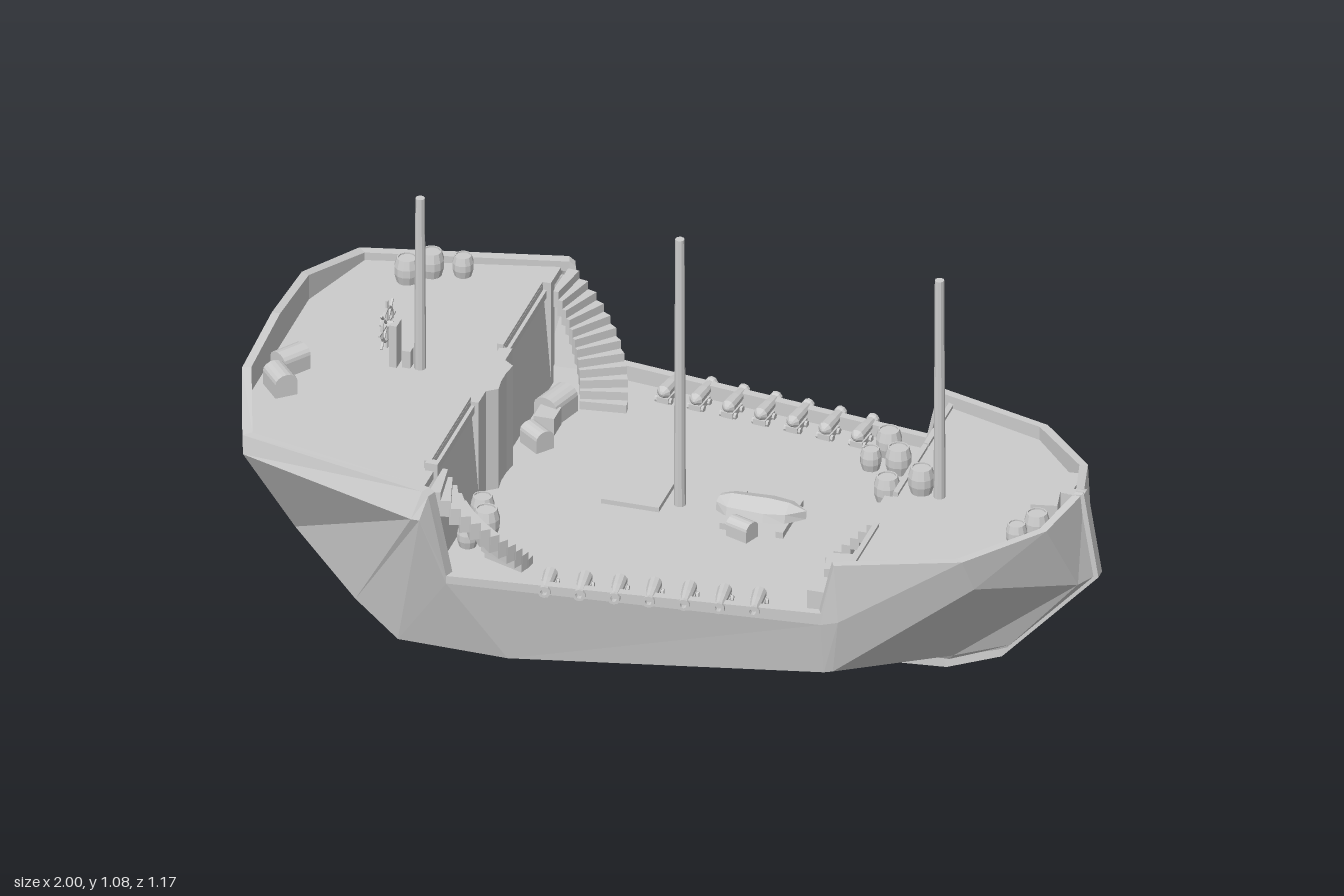
import * as THREE from 'three';

const mat = new THREE.MeshStandardMaterial({ color: 0xcccccc, flatShading: true, side: THREE.DoubleSide });
const MAIN = 0.37, STERN = 0.625, FORE = 0.5;

function add(parent, name, geo, x = 0, y = 0, z = 0) {
  const m = new THREE.Mesh(geo, mat);
  m.name = name;
  m.position.set(x, y, z);
  parent.add(m);
  return m;
}
const box = (w, h, d) => new THREE.BoxGeometry(w, h, d);

// Skin between neighbouring cross-sections
function loft(sections, closed = false) {
  const pos = [];
  for (let i = 0; i < sections.length - 1; i++) {
    const a = sections[i], b = sections[i + 1], n = a.length;
    for (let j = 0; j < (closed ? n : n - 1); j++) {
      const k = (j + 1) % n;
      pos.push(...a[j], ...b[j], ...a[k], ...b[j], ...b[k], ...a[k]);
    }
  }
  const g = new THREE.BufferGeometry();
  g.setAttribute('position', new THREE.Float32BufferAttribute(pos, 3));
  g.computeVertexNormals();
  return g;
}

// Vertical prism over a plan outline of [x, z] points
function prism(pts, y0, y1) {
  const s = new THREE.Shape(pts.map(([x, z]) => new THREE.Vector2(x, -z)));
  return new THREE.ExtrudeGeometry(s, { depth: y1 - y0, bevelEnabled: false }).rotateX(-Math.PI / 2).translate(0, y0, 0);
}
const mirrored = (half) => [...half, ...half.map(([x, z]) => [x, -z]).reverse()];

function barrel(parent, x, y, z, r) {
  const h = r * 2.1;
  const p = [[0, 0], [r * 0.8, 0], [r, h * 0.35], [r, h * 0.65], [r * 0.8, h], [r * 0.7, h], [r * 0.7, h * 0.94], [0, h * 0.94]];
  add(parent, 'barrel', new THREE.LatheGeometry(p.map((q) => new THREE.Vector2(...q)), 12), x, y, z);
}

function chest(parent, x, y, z, turn, s = 1) {
  const g = new THREE.Group();
  g.name = 'chest';
  add(g, 'chestBody', box(0.055 * s, 0.036 * s, 0.075 * s), 0, 0.018 * s, 0);
  const lid = new THREE.CylinderGeometry(0.0275 * s, 0.0275 * s, 0.075 * s, 8, 1, false, 0, Math.PI);
  lid.rotateZ(Math.PI / 2).rotateY(Math.PI / 2).scale(1, 0.75, 1);
  lid.computeBoundingBox();
  add(g, 'chestLid', lid, 0, 0.036 * s - lid.boundingBox.min.y, 0);
  g.position.set(x, y, z);
  g.rotation.y = turn;
  parent.add(g);
}

function cannon(parent, x, z, side) {
  const g = new THREE.Group();
  g.name = 'cannon';
  const p = [[0, -0.055], [0.007, -0.052], [0.017, -0.042], [0.015, 0], [0.011, 0.035], [0.015, 0.04], [0.015, 0.048], [0.008, 0.048], [0.008, 0.03]];
  const b = new THREE.LatheGeometry(p.map((q) => new THREE.Vector2(...q)), 10).rotateX(Math.PI / 2);
  add(g, 'cannonBarrel', b, 0, 0.027, 0);
  add(g, 'carriage', box(0.03, 0.014, 0.055), 0, 0.008, -0.022);
  for (const dz of [-0.04, -0.005]) {
    add(g, 'wheels', new THREE.CylinderGeometry(0.008, 0.008, 0.042, 8).rotateZ(Math.PI / 2), 0, 0.006, dz);
  }
  g.position.set(x, MAIN, z * side);
  g.rotation.y = side > 0 ? 0.13 : Math.PI - 0.13;
  parent.add(g);
}

export function createModel() {
  const ship = new THREE.Group();
  ship.name = 'ship';

  // Hull stations from stern to bow: deck height, then rail, waist, chine and keel points
  const stations = [
    [STERN, [-1, 0.71, 0], [-0.995, 0.65, 0], [-0.93, 0.4, 0], [-0.93, 0.4, 0]],
    [STERN, [-1, 0.69, 0.23], [-0.99, 0.63, 0.23], [-0.93, 0.4, 0.2], [-0.93, 0.4, 0]],
    [STERN, [-0.93, 0.645, 0.45], [-0.925, 0.6, 0.46], [-0.84, 0.35, 0.33], [-0.84, 0.35, 0]],
    [STERN, [-0.46, 0.64, 0.565], [-0.48, 0.575, 0.587], [-0.66, 0.25, 0.44], [-0.66, 0.245, 0.02]],
    [STERN, [-0.445, 0.63, 0.565], [-0.46, 0.575, 0.587], [-0.545, 0.185, 0.48], [-0.52, 0.03, 0.03]],
    [MAIN, [-0.41, 0.41, 0.54], [-0.41, 0.39, 0.54], [-0.28, 0.18, 0.48], [-0.36, 0.025, 0.03]],
    [MAIN, [0.46, 0.4, 0.43], [0.46, 0.37, 0.43], [0.46, 0.23, 0.405], [0.48, 0.075, 0.03]],
    [FORE, [0.49, 0.53, 0.425], [0.5, 0.38, 0.425], [0.48, 0.233, 0.4], [0.5, 0.075, 0.03]],
    [FORE, [0.77, 0.535, 0.33], [0.79, 0.45, 0.3], [0.66, 0.11, 0.045], [0.64, 0.085, 0.03]],
    [FORE, [0.92, 0.55, 0.16], [0.965, 0.36, 0.06], [0.79, 0.15, 0.025], [0.77, 0.125, 0.02]],
    [FORE, [0.96, 0.57, 0], [0.995, 0.36, 0], [0.8, 0.15, 0], [0.78, 0.13, 0]],
  ];
  for (const side of [1, -1]) {
    const rows = stations.map(([deck, ...pts]) => {
      const [x, y, z] = pts[0];
      const ix = x * 0.98, iz = z * 0.957;
      return [[ix, deck - 0.01, iz], [ix, y, iz], ...pts].map((p) => [p[0], p[1], p[2] * side]);
    });
    add(ship, side > 0 ? 'hullLeft' : 'hullRight', loft(rows));
  }

  // Keel, sternpost and stem: outer x, y, inner x, y, half width
  const keel = [
    [-0.93, 0.395, -0.93, 0.42, 0.02], [-0.84, 0.345, -0.82, 0.37, 0.025], [-0.66, 0.235, -0.63, 0.26, 0.03],
    [-0.52, 0.01, -0.51, 0.04, 0.035], [-0.36, 0, -0.36, 0.032, 0.035], [0.64, 0.07, 0.63, 0.1, 0.035],
    [0.77, 0.115, 0.755, 0.14, 0.024], [1, 0.36, 0.97, 0.37, 0.014], [0.965, 0.575, 0.925, 0.56, 0.014],
  ];
  add(ship, 'keel', loft(keel.map(([a, b, c, d, w]) => [[a, b, w], [a, b, -w], [c, d, -w], [c, d, w]]), true));
  add(ship, 'stemHead', box(0.04, 0.012, 0.028), 0.945, 0.563, 0);

  // Decks
  add(ship, 'mainDeck', prism(mirrored([[-0.5, 0.515], [-0.4, 0.52], [0.46, 0.415], [0.53, 0.4]]), MAIN - 0.02, MAIN));
  add(ship, 'sternDeck', prism(mirrored([[-0.985, 0.22], [-0.915, 0.435], [-0.47, 0.545]]), STERN - 0.02, STERN));
  add(ship, 'foreDeck', prism(mirrored([[0.515, 0.405], [0.76, 0.315], [0.9, 0.155], [0.94, 0.01]]), FORE - 0.02, FORE));

  // Stern bulkhead with leaning panels and a scalloped centre bay
  add(ship, 'sternBulkhead', box(0.015, STERN - MAIN, 1.05), -0.49, (STERN + MAIN) / 2, 0);
  add(ship, 'centreBay', prism(mirrored([[-0.49, 0.13], [-0.46, 0.13], [-0.46, 0.075], [-0.435, 0.055], [-0.44, 0.02]]), MAIN, STERN + 0.01));
  for (const s of [1, -1]) {
    add(ship, 'sternPanel', box(0.012, 0.265, 0.3), -0.475, 0.505, 0.28 * s).rotation.z = 0.08;
    add(ship, 'sternDeckBeam', box(0.016, 0.03, 0.31), -0.488, STERN + 0.005, 0.28 * s);
    add(ship, 'sternPost', box(0.03, STERN - MAIN + 0.02, 0.02), -0.475, (STERN + MAIN) / 2 + 0.01, 0.435 * s);
  }

  // Forward bulkhead
  add(ship, 'foreBulkhead', box(0.015, FORE - MAIN, 0.82), 0.517, (FORE + MAIN) / 2, 0);
  for (const [z, w] of [[-0.35, 0.13], [-0.24, 0.07], [-0.085, 0.23], [0.295, 0.24]]) {
    add(ship, 'forePanel', box(0.012, 0.145, w), 0.505, 0.44, z).rotation.z = -0.15;
  }

  // Straight stair to the fore deck
  for (let i = 0; i < 6; i++) {
    add(ship, 'foreStep', box(0.022, 0.03, 0.14), 0.4 + i * 0.02, MAIN + 0.008 + i * 0.021, 0.1);
  }

  // Curved stairs on both sides
  const steps = 12;
  for (const s of [1, -1]) {
    for (let i = 0; i < steps; i++) {
      const a0 = 0.12 + (i * 1.42) / steps, a1 = a0 + 1.42 / steps + 0.02;
      const pt = (r, a) => [-0.455 + r * Math.cos(a), s * (0.335 + r * Math.sin(a))];
      const top = MAIN + ((i + 1) * (STERN - MAIN)) / steps;
      add(ship, 'curvedStep', prism([pt(0.09, a0), pt(0.2, a0), pt(0.2, a1), pt(0.09, a1)], Math.max(MAIN, top - 0.042), top));
    }
  }

  // Masts
  for (const [x, y] of [[-0.642, STERN], [-0.015, MAIN], [0.612, FORE]]) {
    add(ship, 'mast', new THREE.CylinderGeometry(0.011, 0.014, 1.077 - y, 10), x, (1.077 + y) / 2, 0);
  }

  // Steering wheel on its stand
  const wheel = new THREE.Group();
  wheel.name = 'steeringWheel';
  add(wheel, 'rim', new THREE.TorusGeometry(0.041, 0.004, 6, 16).rotateY(Math.PI / 2));
  add(wheel, 'hub', new THREE.CylinderGeometry(0.01, 0.01, 0.03, 8).rotateZ(Math.PI / 2));
  for (let i = 0; i < 4; i++) add(wheel, 'spoke', box(0.005, 0.124, 0.005)).rotation.x = (i * Math.PI) / 4;
  wheel.position.set(-0.722, 0.727, 0);
  ship.add(wheel);
  add(ship, 'wheelStand', box(0.018, 0.11, 0.036), -0.702, STERN + 0.055, 0);
  add(ship, 'compassBox', box(0.02, 0.045, 0.024), -0.672, STERN + 0.022, 0);

  // Hatch
  add(ship, 'hatch', box(0.14, 0.012, 0.14), -0.12, MAIN + 0.006, -0.02);

  // Upturned rowing boat on two bearers
  const boat = [[0.08, 0.025, 0.006], [0.11, 0.045, 0.018], [0.2, 0.052, 0.02], [0.25, 0.04, 0.016], [0.29, 0.003, 0.002]];
  add(ship, 'rowingBoat', loft(boat.map(([x, w, k]) => [
    [x, MAIN + 0.015, w], [x, MAIN + 0.036, w * 0.85], [x, MAIN + 0.034 + k, 0], [x, MAIN + 0.036, -w * 0.85], [x, MAIN + 0.015, -w],
  ], ), true));
  for (const x of [0.115, 0.25]) add(ship, 'boatBearer', box(0.018, 0.016, 0.16), x, MAIN + 0.008, 0);

  // Guns, seven to a side
  for (const s of [1, -1]) {
    for (let i = 0; i < 7; i++) cannon(ship, -0.185 + i * 0.081, 0.475 - i * 0.0098, s);
  }

  // Barrels
  const barrels = [
    [STERN, [-0.79, -0.37, 0.03], [-0.745, -0.415, 0.03], [-0.675, -0.435, 0.025]],
    [MAIN, [-0.43, 0.195, 0.028], [-0.4, 0.262, 0.032], [-0.425, 0.325, 0.025], [0.375, -0.365, 0.031],
      [0.42, -0.295, 0.031], [0.355, -0.29, 0.025], [0.435, -0.16, 0.031]],
    [FORE, [0.565, -0.01, 0.031], [0.88, 0.105, 0.03], [0.845, 0.15, 0.025]],
  ];
  for (const [y, ...list] of barrels) for (const [x, z, r] of list) barrel(ship, x, y, z, r);

  // Chests and crates
  chest(ship, -0.925, STERN, 0.095, -0.6);
  chest(ship, -0.92, STERN, 0.19, 0.7);
  chest(ship, -0.41, MAIN, -0.305, -0.3, 1.15);
  chest(ship, -0.41, MAIN, -0.16, 0.9, 0.9);
  chest(ship, 0.165, MAIN, 0.095, 1.2, 0.8);
  for (const [x, y, z, s, t] of [
    [0.445, MAIN, 0.235, 0.065, 0.2], [0.44, MAIN, 0.34, 0.06, 0], [-0.41, MAIN, -0.24, 0.05, 0],
    [0.895, FORE, -0.115, 0.04, 0.1], [0.895, FORE, -0.06, 0.045, 0], [0.875, FORE, 0.022, 0.062, 0.2],
  ]) add(ship, 'crate', box(s, s * 0.9, s * 1.15), x, y + s * 0.45, z).rotation.y = t;

  return ship;
}
